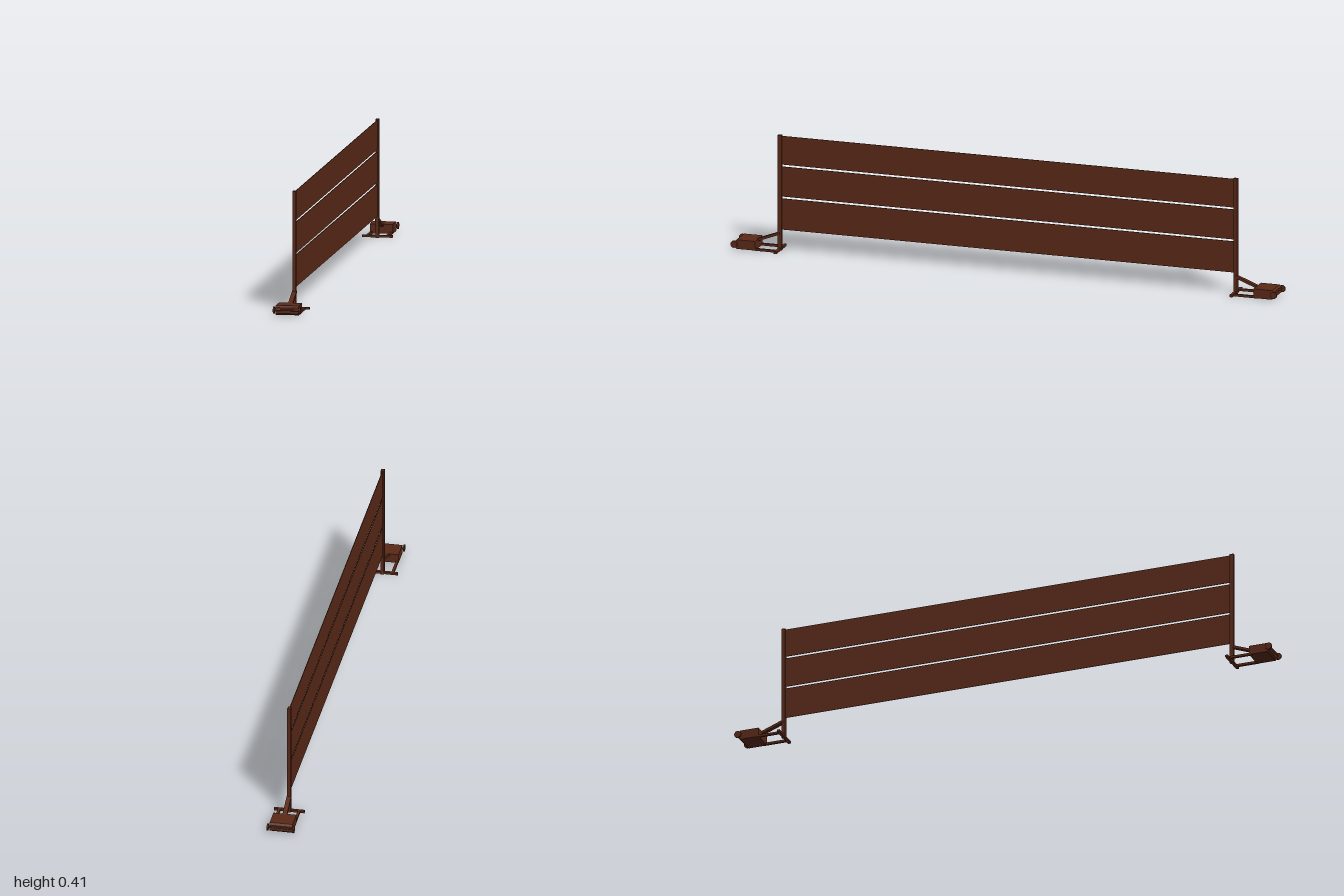
import * as THREE from 'three';

const material = new THREE.MeshStandardMaterial({ color: 0x5a2918 });

function add(parent, name, geometry, x, y, z) {
  const mesh = new THREE.Mesh(geometry, material);
  mesh.name = name;
  mesh.position.set(x, y, z);
  parent.add(mesh);
  return mesh;
}

function box(parent, name, w, h, d, x, y, z) {
  return add(parent, name, new THREE.BoxGeometry(w, h, d), x, y, z);
}

// Ballast block: bevelled side profile (z, y) extruded across x
function ballastGeometry(width) {
  const profile = [[0.912, 0.002], [0.98, 0.002], [0.987, 0.008], [0.987, 0.028], [0.98, 0.035], [0.912, 0.035]];
  const shape = new THREE.Shape(profile.map(([z, y]) => new THREE.Vector2(-z, y)));
  const geometry = new THREE.ExtrudeGeometry(shape, { depth: width, bevelEnabled: false });
  geometry.translate(0, 0, -width / 2);
  geometry.rotateY(Math.PI / 2);
  return geometry;
}

// One upright with its weighted, wheeled foot, on the +z end
function createStand() {
  const stand = new THREE.Group();
  box(stand, 'post', 0.012, 0.415, 0.014, 0, 0.2075, 0.834);
  box(stand, 'footCrossbar', 0.108, 0.008, 0.01, 0, 0.005, 0.834);
  add(stand, 'ballast', ballastGeometry(0.081), 0, 0, 0);

  // Sloping brace from the post to the ballast
  const from = new THREE.Vector2(0.834, 0.062);
  const to = new THREE.Vector2(0.918, 0.03);
  const run = to.clone().sub(from);
  const brace = box(stand, 'brace', 0.016, 0.009, run.length(), 0, (from.y + to.y) / 2, (from.x + to.x) / 2);
  brace.rotation.x = -Math.atan2(run.y, run.x);

  for (const side of [-1, 1]) {
    box(stand, 'footRail', 0.009, 0.008, 0.09, side * 0.035, 0.005, 0.876);
    const wheel = add(stand, 'wheel', new THREE.CylinderGeometry(0.0125, 0.0125, 0.005, 20), side * 0.0455, 0.0195, 0.9875);
    wheel.rotation.z = Math.PI / 2;
  }
  // Axle
  const axle = add(stand, 'axle', new THREE.CylinderGeometry(0.003, 0.003, 0.09, 10), 0, 0.0195, 0.986);
  axle.rotation.z = Math.PI / 2;
  return stand;
}

export function createModel() {
  const model = new THREE.Group();
  model.name = 'barrier';

  // Stands at both ends
  for (const end of [0, 1]) {
    const stand = createStand();
    stand.name = end ? 'backStand' : 'frontStand';
    stand.rotation.y = end * Math.PI;
    model.add(stand);
  }

  // Three thin panels with narrow gaps
  for (const [bottom, top] of [[0.075, 0.187], [0.194, 0.302], [0.309, 0.412]]) {
    box(model, 'panel', 0.002, top - bottom, 1.656, 0, (bottom + top) / 2, 0);
  }
  return model;
}
